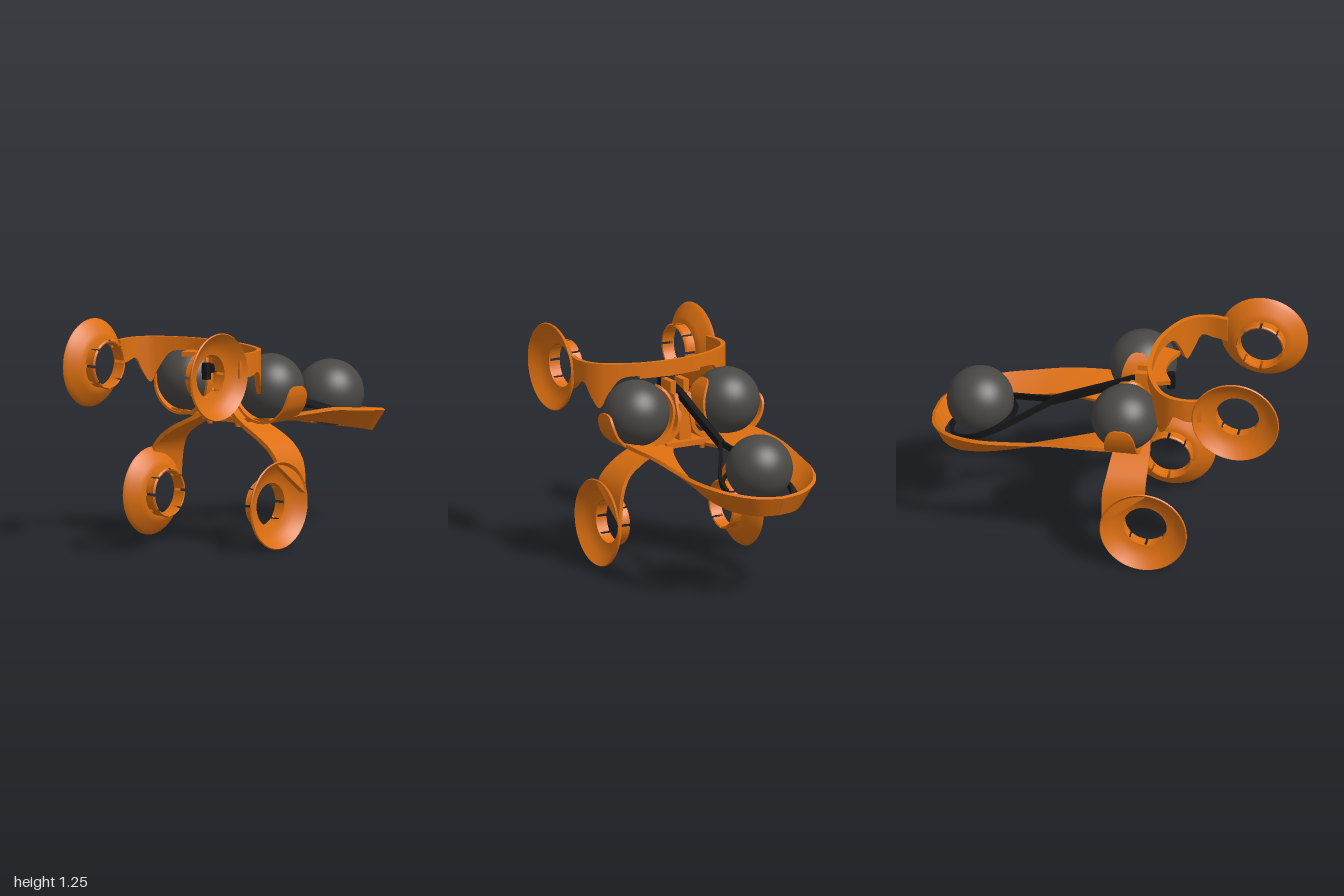
import * as THREE from 'three';
import { toCreasedNormals } from 'three/addons/utils/BufferGeometryUtils.js';

const orange = new THREE.MeshStandardMaterial({ color: 0xdd6f10, side: THREE.DoubleSide });
const grey = new THREE.MeshStandardMaterial({ color: 0x4a4845 });
const black = new THREE.MeshStandardMaterial({ color: 0x141414, side: THREE.DoubleSide });

const SLOPE = 0.4;                       // tilt of the black fork
const forkY = (z) => 0.89 + SLOPE * z;

// Solid strip of even thickness between two edge curves; side = -1 mirrors it in x.
function ribbon(a, b, thickness, steps = 48, side = 1) {
  const curve = (pts) => new THREE.CatmullRomCurve3(
    pts.map(([x, y, z]) => new THREE.Vector3(x * side, y, z)));
  const ca = curve(a), cb = curve(b), pos = [], index = [];
  for (let s = 0; s <= steps; s++) {
    const t = s / steps;
    const A = ca.getPoint(t), B = cb.getPoint(t);
    const T = ca.getTangent(t).add(cb.getTangent(t)).normalize();
    const N = T.cross(B.clone().sub(A)).normalize().multiplyScalar(thickness / 2);
    for (const p of [A.clone().sub(N), B.clone().sub(N), B.add(N), A.add(N)]) pos.push(p.x, p.y, p.z);
    if (s < steps) {
      for (let i = 0; i < 4; i++) {
        const p = s * 4 + i, q = s * 4 + (i + 1) % 4;
        index.push(p, q, q + 4, p, q + 4, p + 4);
      }
    }
  }
  const e = steps * 4;
  index.push(0, 3, 2, 0, 2, 1, e, e + 1, e + 2, e, e + 2, e + 3);
  const g = new THREE.BufferGeometry();
  g.setAttribute('position', new THREE.Float32BufferAttribute(pos, 3));
  g.setIndex(index);
  return toCreasedNormals(g, 0.7);
}

function lathe(profile, segments, start = 0, length = Math.PI * 2) {
  const pts = [...profile, profile[0]].map(([r, y]) => new THREE.Vector2(r, y));
  return toCreasedNormals(new THREE.LatheGeometry(pts, segments, start, length), 0.6);
}

export function createModel() {
  const model = new THREE.Group();
  const add = (name, geometry, material, x = 0, y = 0, z = 0, parent = model) => {
    const mesh = new THREE.Mesh(geometry, material);
    mesh.name = name;
    mesh.position.set(x, y, z);
    parent.add(mesh);
    return mesh;
  };

  // Dished flange with a ring of eight spring claws, axis along x
  const dish = lathe([[0.12, 0.385], [0.145, 0.385], [0.17, 0.397], [0.22, 0.43], [0.238, 0.445],
    [0.243, 0.453], [0.238, 0.46], [0.225, 0.449], [0.19, 0.42], [0.15, 0.4], [0.12, 0.394]], 64);
  const clawProfile = [[0.122, 0.325], [0.13, 0.322], [0.137, 0.33], [0.132, 0.345], [0.132, 0.39], [0.12, 0.39]];
  const gap = 0.13;
  const claws = [...Array(8).keys()].map((i) =>
    lathe(clawProfile, 8, i * Math.PI / 4 + gap / 2, Math.PI / 4 - gap));
  const addFlange = (name, side, y, z) => {
    const g = new THREE.Group();
    g.name = name;
    add('dish', dish, orange, 0, 0, 0, g);
    claws.forEach((c) => add('claw', c, orange, 0, 0, 0, g));
    g.rotation.z = -side * Math.PI / 2;
    g.position.set(0, y, z);
    model.add(g);
  };

  // Edge curves of the rear hoop, flat at the front and upright at the back
  const hoopOuter = [[0.35, 0.7, 0.2], [0.4, 0.72, 0.03], [0.405, 0.72, -0.1], [0.4, 0.715, -0.3], [0.385, 0.69, -0.5],
    [0.355, 0.665, -0.7], [0.27, 0.64, -0.87], [0.14, 0.62, -0.97], [0, 0.61, -0.995]];
  const hoopInner = [[0.06, 0.675, 0.18], [0.1, 0.665, 0.04], [0.17, 0.66, -0.1], [0.24, 0.64, -0.3], [0.27, 0.6, -0.5],
    [0.265, 0.56, -0.68], [0.21, 0.525, -0.83], [0.11, 0.508, -0.92], [0, 0.505, -0.945]];

  // Upper arch: x, z and lower edge height, with a hanging fin near each end
  const arch = [[0, 0.215, 1.03], [0.1, 0.22, 1.035], [0.2, 0.24, 1.045], [0.29, 0.275, 1.03], [0.345, 0.305, 0.95],
    [0.385, 0.335, 0.865], [0.412, 0.37, 0.92], [0.432, 0.415, 1], [0.44, 0.48, 0.985], [0.425, 0.56, 0.98]];

  // Leg: x, y of front edge, front z, y of back edge, back z
  const leg = [[0.04, 0.95, 0.2, 0.95, 0.1], [0.04, 0.82, 0.2, 0.82, 0.06], [0.055, 0.755, 0.2, 0.755, 0.06],
    [0.11, 0.705, 0.22, 0.705, 0.06], [0.2, 0.655, 0.24, 0.655, 0.05], [0.3, 0.605, 0.25, 0.605, 0.04],
    [0.38, 0.55, 0.25, 0.545, 0.03], [0.425, 0.5, 0.25, 0.46, 0.015], [0.443, 0.46, 0.25, 0.28, 0.015]];

  // Cradle strip bent around a front ball: angle in degrees and half width
  const cradle = [[6, 0.025], [2, 0.055], [-10, 0.078], [-35, 0.088], [-70, 0.09], [-110, 0.09],
    [-150, 0.09], [-185, 0.088], [-208, 0.07], [-222, 0.045], [-227, 0.02]];
  const cradleEdge = (sign) => cradle.map(([deg, w]) => {
    const a = THREE.MathUtils.degToRad(deg);
    return [0.285 + 0.191 * Math.cos(a), 0.872 + 0.191 * Math.sin(a), 0.115 + sign * w];
  });

  for (const side of [1, -1]) {
    const n = side > 0 ? 'left' : 'right';
    addFlange(n + 'UpperFlange', side, 1.01, 0.757);
    addFlange(n + 'LowerFlange', side, 0.245, 0.245);
    add(n + 'Ball', new THREE.SphereGeometry(0.184, 48, 32), grey, side * 0.285, 0.872, 0.115);
    add(n + 'Hoop', ribbon(hoopOuter, hoopInner, 0.02, 72, side), orange);
    add(n + 'Arch', ribbon(arch.map(([x, z]) => [x, 1.115, z]), arch.map(([x, z, y]) => [x, y, z]),
      0.025, 64, side), orange);
    add(n + 'Leg', ribbon(leg.map(([x, y, z]) => [x, y, z]), leg.map(([x, , , y, z]) => [x, y, z]),
      0.024, 56, side), orange);
    add(n + 'Cradle', ribbon(cradleEdge(1), cradleEdge(-1), 0.014, 64, side), orange);

    // Clip hook holding the fork, and small fasteners below
    add(n + 'Clip', new THREE.BoxGeometry(0.035, 0.065, 0.1), orange, side * 0.042, 0.983, 0.18);
    for (const z of [0.06, 0.17]) {
      add(n + 'Bolt', new THREE.CylinderGeometry(0.018, 0.014, 0.03, 12), orange, side * 0.1, 0.655, z);
    }

    // Fork arm from the stem to the ring
    const arm = [[0, -0.3], [0.025, -0.36], [0.09, -0.47], [0.16, -0.59], [0.188, -0.67], [0.19, -0.72]];
    const edge = (h) => arm.map(([x, z]) => [x, forkY(z) + h, z]);
    add(n + 'ForkArm', ribbon(edge(0.016), edge(-0.016), 0.02, 32, side), black);
  }

  // Central bracket
  add('bracketPlate', new THREE.BoxGeometry(0.07, 0.22, 0.12), orange, 0, 0.79, 0.13);
  add('bracketBase', new THREE.BoxGeometry(0.27, 0.03, 0.16), orange, 0, 0.68, 0.115);

  // Ledge below the middle of the arch
  const ledge = new THREE.Shape([[-0.19, 0.235], [0, 0.21], [0.19, 0.235], [0.155, 0.345], [0.07, 0.305],
    [0, 0.295], [-0.07, 0.305], [-0.155, 0.345]].map(([x, z]) => new THREE.Vector2(x, z)));
  const ledgeGeometry = new THREE.ExtrudeGeometry(ledge, { depth: 0.025, bevelEnabled: false });
  add('archLedge', ledgeGeometry.rotateX(Math.PI / 2), orange, 0, 1.05, 0);

  // Rear ball resting in the tilted ring of the fork
  add('rearBall', new THREE.SphereGeometry(0.184, 48, 32), grey, 0, 0.72, -0.74);
  const ring = add('forkRing', lathe([[0.183, -0.014], [0.198, -0.014], [0.198, 0.014], [0.183, 0.014]], 64),
    black, 0, forkY(-0.72), -0.72);
  ring.rotation.x = -Math.atan(SLOPE);

  // Fork stem, pivot and knob
  const stem = [[-0.33, forkY(-0.33)], [-0.05, forkY(-0.05)], [0.14, forkY(0.14)], [0.24, 0.965], [0.34, 0.965]];
  const stemEdge = (h) => stem.map(([z, y]) => [0, y + h, z]);
  add('forkStem', ribbon(stemEdge(0.022), stemEdge(-0.022), 0.036, 24), black);
  add('forkPivot', new THREE.CylinderGeometry(0.018, 0.018, 0.085, 20).rotateZ(Math.PI / 2), black, 0, 0.968, 0.24);
  add('forkKnob', new THREE.CylinderGeometry(0.024, 0.024, 0.09, 20), black, 0, 0.955, 0.32);

  return model;
}
